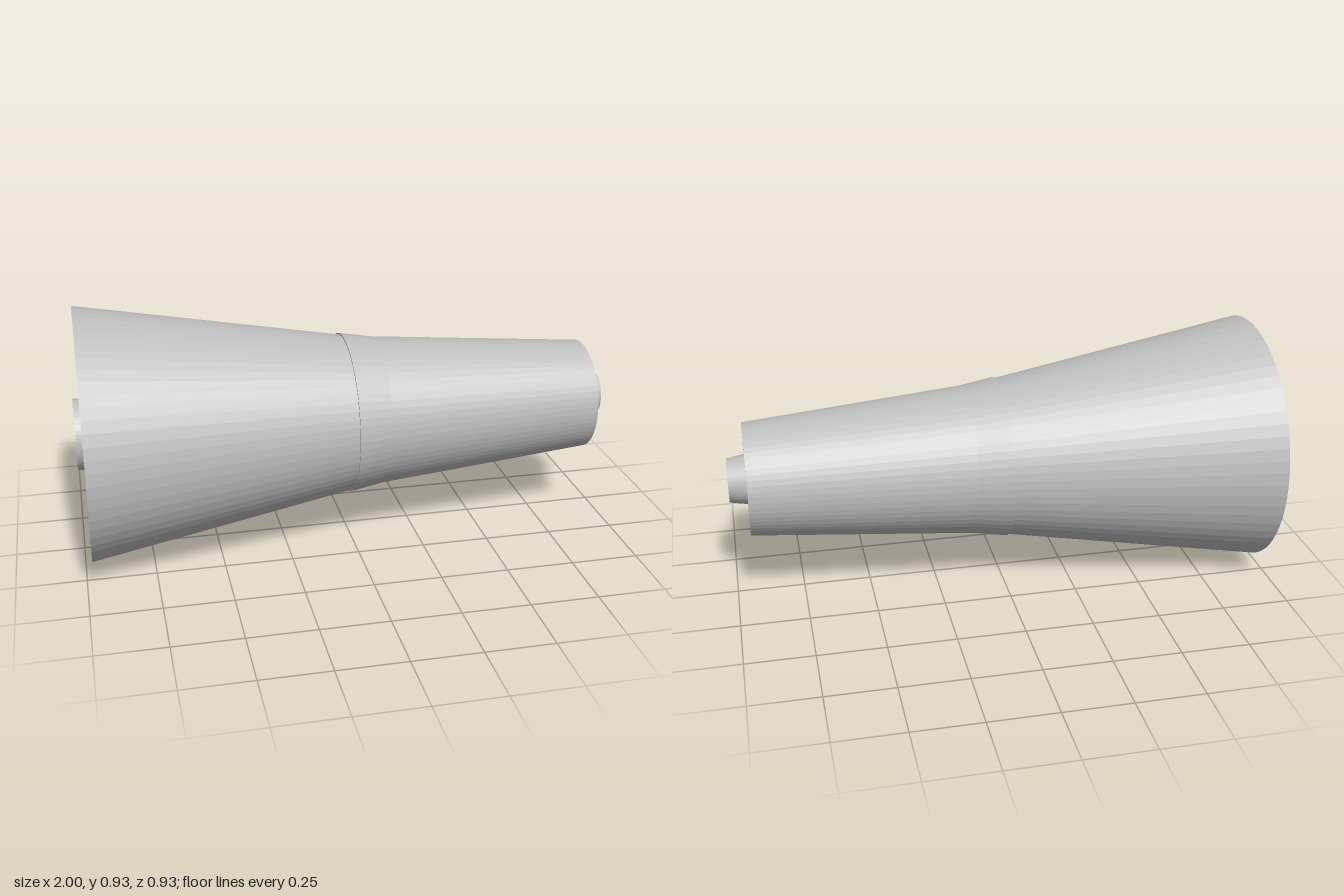
import * as THREE from 'three';

const SEGMENTS = 64;
const AXIS_HEIGHT = 0.465;

export function createModel() {
  const model = new THREE.Group();
  model.name = 'taperedCone';
  const grey = new THREE.MeshStandardMaterial({ color: 0xbfbfbf, flatShading: true });
  grey.name = 'plain grey';

  // Turns a profile of [radius, x] points around the long axis (x)
  function turned(name, profile) {
    const points = profile.map(([r, x]) => new THREE.Vector2(r, x));
    const geometry = new THREE.LatheGeometry(points, SEGMENTS);
    geometry.rotateZ(-Math.PI / 2);
    geometry.translate(0, AXIS_HEIGHT, 0);
    const mesh = new THREE.Mesh(geometry, grey);
    mesh.name = name;
    model.add(mesh);
  }

  // Wide half: recessed end plate, rim and flared wall
  turned('flaredHalf', [
    [0.13, -0.957], [0.43, -0.957], [0.43, -0.977], [0.465, -0.977], [0.294, -0.005],
  ]);

  // Narrow half: small lip at the joint, short shoulder, slim wall, end face
  turned('narrowHalf', [
    [0.294, -0.005], [0.3, -0.005], [0.278, 0.12], [0.207, 0.935], [0.092, 0.935],
  ]);

  // Raised boss in the middle of the wide end
  turned('wideEndBoss', [[0.032, -1], [0.13, -1], [0.13, -0.957]]);

  // Tapered nozzle on the narrow end
  turned('nozzle', [[0.092, 0.935], [0.08, 1], [0.022, 1]]);

  // Bore running the full length
  turned('bore', [[0.022, 1], [0.032, -1]]);

  return model;
}
